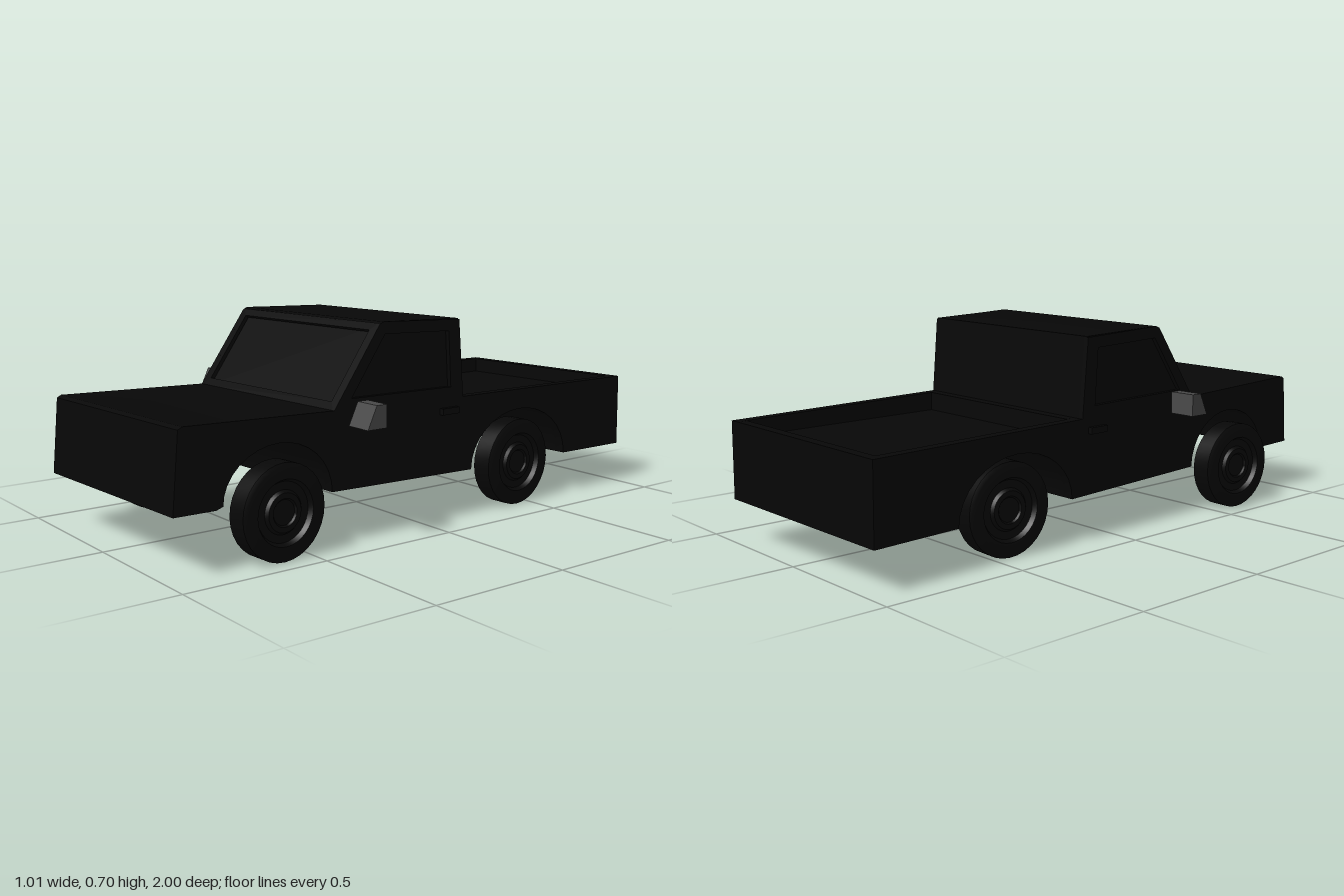
import * as THREE from 'three';
import { toCreasedNormals } from 'three/addons/utils/BufferGeometryUtils.js';

const paint = new THREE.MeshStandardMaterial({ color: 0x070707 });
paint.name = 'black paint';
const grey = new THREE.MeshStandardMaterial({ color: 0x4a4a4a });
grey.name = 'mirror grey';

function part(name, geometry, material, parent) {
  const mesh = new THREE.Mesh(geometry, material);
  mesh.name = name;
  parent.add(mesh);
  return mesh;
}

const path = (points) => points.map(([a, b]) => new THREE.Vector2(a, b));

// Extrudes a side profile of [z, y] points across x, between x0 and x1
function slab(points, x0, x1, hole) {
  const shape = new THREE.Shape(path(points));
  if (hole) shape.holes.push(new THREE.Path(path(hole)));
  const g = new THREE.ExtrudeGeometry(shape, { depth: x1 - x0, bevelEnabled: false });
  g.rotateY(-Math.PI / 2);
  g.translate(x1, 0, 0);
  return toCreasedNormals(g, 0.5);
}

// Half-ellipse wheel arch from the front foot to the rear foot
function arch(zFront, zRear, yFront, yRear, yTop) {
  const points = [], n = 16, mid = (zFront + zRear) / 2, half = (zFront - zRear) / 2;
  for (let i = 0; i <= n; i++) {
    const t = (Math.PI * i) / n, base = yFront + (yRear - yFront) * (i / n);
    points.push([mid + half * Math.cos(t), base + (yTop - base) * Math.sin(t)]);
  }
  return points;
}

export function createModel() {
  const model = new THREE.Group();
  model.name = 'pickupTruck';

  // The body sits slightly turned and leaning over its wheels
  const body = new THREE.Group();
  body.name = 'body';
  body.rotation.set(0, 0.027, 0.013);
  model.add(body);

  // Lower body: underside with both arches, then tailgate, bed and hood
  const underside = [
    [0.985, 0.19], [0.84, 0.187],
    ...arch(0.815, 0.41, 0.195, 0.173, 0.357),
    ...arch(-0.2, -0.68, 0.156, 0.148, 0.342),
    [-0.99, 0.143],
  ];
  const hood = [[-0.16, 0.416], [0.4, 0.431], [0.945, 0.449], [0.96, 0.441]];
  const bed = [[-0.99, 0.405], [-0.955, 0.405], [-0.955, 0.352], [-0.195, 0.352], [-0.195, 0.416]];
  part('chassisAndBed', slab([...underside, ...bed, ...hood], -0.35, 0.35), paint, body);
  for (const s of [-1, 1]) {
    const [a, b] = s < 0 ? [-0.385, -0.35] : [0.35, 0.385];
    part(s < 0 ? 'rightBodySide' : 'leftBodySide',
      slab([...underside, [-0.99, 0.405], ...hood], a, b), paint, body);
  }

  // Cab core, with window-cut side panels around it
  part('cabCore', slab([
    [-0.158, 0.41], [0.385, 0.425], [0.188, 0.688], [0.17, 0.691], [-0.138, 0.681],
  ], -0.37, 0.37), paint, body);
  const side = [[-0.158, 0.41], [0.4, 0.43], [0.212, 0.688], [0.195, 0.695], [-0.138, 0.681]];
  const sideWindow = [[-0.1, 0.455], [0.33, 0.462], [0.19, 0.655], [-0.09, 0.645]];
  part('leftCabSide', slab(side, 0.37, 0.386, sideWindow), paint, body);
  part('rightCabSide', slab(side, -0.386, -0.37, sideWindow), paint, body);
  part('roof', slab([
    [-0.138, 0.676], [0.19, 0.684], [0.212, 0.688], [0.195, 0.695], [-0.138, 0.684],
  ], -0.38, 0.38), paint, body);

  // Raised frame around the windscreen
  const outer = new THREE.Shape(path([[-0.38, 0], [0.38, 0], [0.38, 0.322], [-0.38, 0.322]]));
  outer.holes.push(new THREE.Path(path([[-0.35, 0.03], [-0.35, 0.295], [0.35, 0.295], [0.35, 0.03]])));
  const frame = new THREE.ExtrudeGeometry(outer, { depth: 0.014, bevelEnabled: false });
  frame.translate(0, 0, -0.014);
  frame.rotateX(-0.63);
  frame.translate(0, 0.43, 0.4);
  part('windscreenFrame', frame, paint, body);

  // Door handles
  for (const s of [-1, 1]) {
    const handle = part(s < 0 ? 'rightHandle' : 'leftHandle',
      new THREE.BoxGeometry(0.016, 0.022, 0.075), paint, body);
    handle.position.set(s * 0.392, 0.375, -0.09);
  }

  // Wedge mirrors
  const mirror = [[0.345, 0.385], [0.31, 0.46], [0.27, 0.46], [0.27, 0.385]].reverse();
  part('leftMirror', slab(mirror, 0.408, 0.504), grey, model);
  part('rightMirror', slab(mirror, -0.504, -0.408), grey, model);

  // Wheels with a dished rim, slightly toed out
  const tyre = new THREE.LatheGeometry(path([
    [0, -0.036], [0.142, -0.041], [0.155, -0.034], [0.155, 0.034], [0.142, 0.041],
    [0.105, 0.041], [0.096, 0.026], [0.07, 0.026], [0.062, 0.036], [0.045, 0.036], [0.04, 0.03], [0, 0.03],
  ]), 32);
  tyre.rotateZ(-Math.PI / 2);
  const wheel = toCreasedNormals(tyre, 0.5);
  for (const [name, x, z] of [['front', 0.4, 0.61], ['rear', 0.34, -0.44]]) {
    for (const s of [-1, 1]) {
      const w = part(name + (s < 0 ? 'RightWheel' : 'LeftWheel'), wheel, paint, model);
      w.position.set(s * x, 0.155, z);
      w.rotation.y = s > 0 ? 0.06 : Math.PI - 0.06;
    }
  }
  return model;
}
